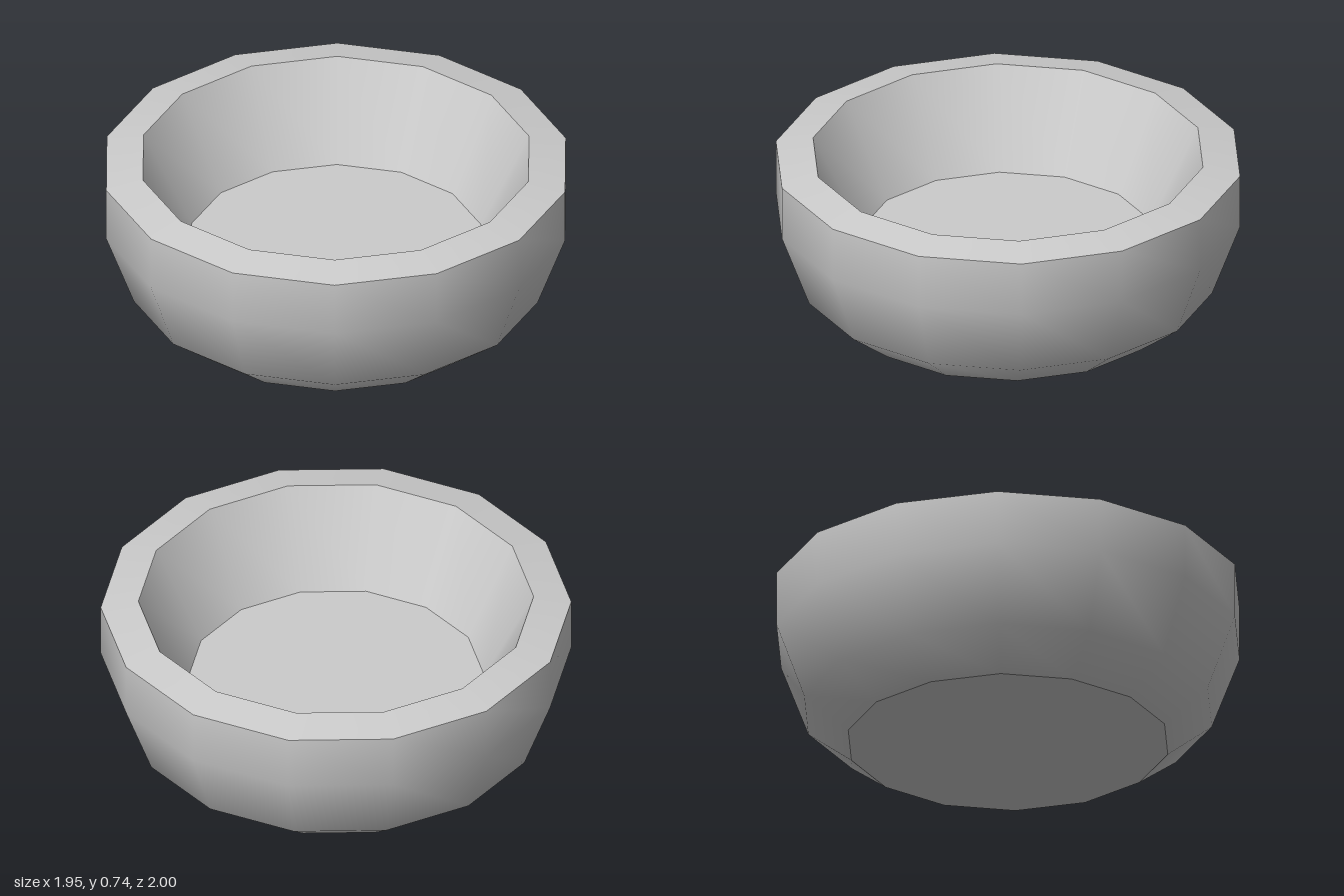
import * as THREE from 'three';

const SIDES = 14;

export function createModel() {
  const bowl = new THREE.Group();
  bowl.name = 'bowl';
  const material = new THREE.MeshStandardMaterial({ color: 0xcccccc });

  // Each band is its own lathe, so bands are smooth inside and sharp where they meet.
  // Profiles run from the underside, up the outside, over the rim and down the inside.
  const addBand = (name, profile) => {
    const points = profile.map(([r, y]) => new THREE.Vector2(r, y));
    const mesh = new THREE.Mesh(new THREE.LatheGeometry(points, SIDES), material);
    mesh.name = name;
    bowl.add(mesh);
  };

  addBand('base', [[0, 0], [0.69, 0]]);
  addBand('outerWall', [[0.69, 0], [0.88, 0.145], [1, 0.47], [1, 0.71]]);
  addBand('rim', [[1, 0.71], [0.84, 0.74]]);
  addBand('innerWall', [[0.84, 0.74], [0.63, 0.33]]);
  addBand('innerFloor', [[0.63, 0.33], [0, 0.33]]);

  return bowl;
}
